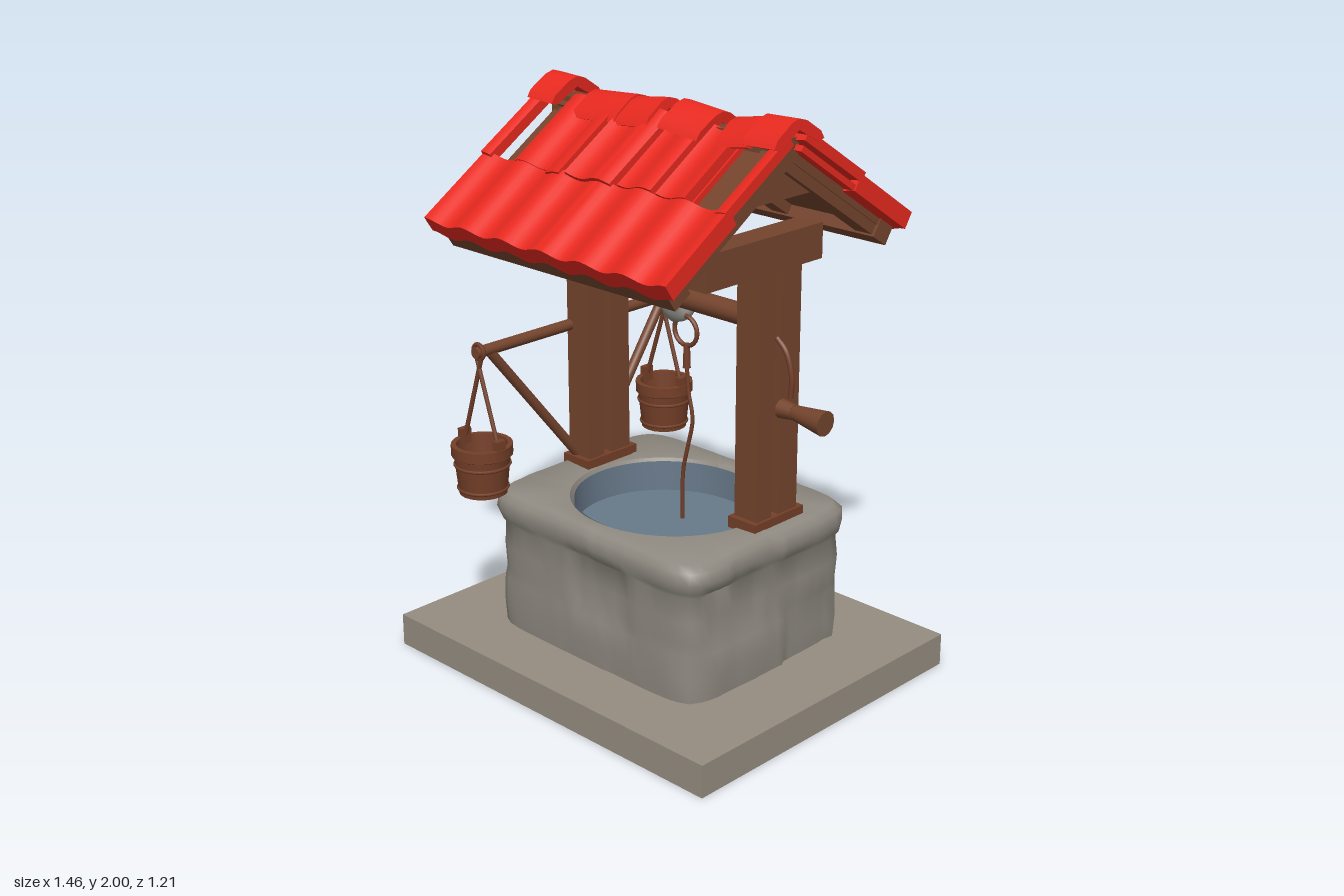
import * as THREE from 'three';
import { toCreasedNormals } from 'three/addons/utils/BufferGeometryUtils.js';

const mat = (name, color, side = THREE.FrontSide) => {
  const m = new THREE.MeshStandardMaterial({ color, side });
  m.name = name;
  return m;
};
const V = (x, y, z) => new THREE.Vector3(x, y, z);
const shapeOf = pts => new THREE.Shape(pts.map(p => new THREE.Vector2(...p)));
// repeatable noise in -1..1
const hash = (a, b) => {
  const s = Math.sin(a * 127.1 + b * 311.7) * 43758.5453;
  return (s - Math.floor(s)) * 2 - 1;
};

export function createModel() {
  const stone = mat('stone', 0x8f8a81, THREE.DoubleSide);
  const slab = mat('slab', 0x958d81);
  const wood = mat('wood', 0x74442d);
  const bronze = mat('reddish wood', 0x743f28, THREE.DoubleSide);
  const tile = mat('red tile', 0xe8291f, THREE.DoubleSide);
  const grey = mat('pulley grey', 0x898984);
  const lining = mat('well lining', 0x68798a, THREE.DoubleSide);
  const water = mat('water', 0x677a88);
  const model = new THREE.Group();

  const add = (name, geo, m, parent = model) => {
    const mesh = new THREE.Mesh(geo, m);
    mesh.name = name;
    parent.add(mesh);
    return mesh;
  };
  // box given by its minimum and maximum on each axis
  const box = (name, x0, x1, y0, y1, z0, z1, m, parent) => {
    const b = add(name, new THREE.BoxGeometry(x1 - x0, y1 - y0, z1 - z0), m, parent);
    b.position.set((x0 + x1) / 2, (y0 + y1) / 2, (z0 + z1) / 2);
    return b;
  };
  // round bar between two points
  const bar = (name, a, b, r0, r1, m, parent, sides = 12) => {
    const c = add(name, new THREE.CylinderGeometry(r1, r0, a.distanceTo(b), sides), m, parent);
    c.position.copy(a).lerp(b, 0.5);
    c.quaternion.setFromUnitVectors(V(0, 1, 0), b.clone().sub(a).normalize());
    return c;
  };
  const tube = (name, pts, r, m) =>
    add(name, new THREE.TubeGeometry(new THREE.CatmullRomCurve3(pts), 24, r, 6), m);

  box('base', -0.73, 0.73, 0, 0.115, -0.605, 0.605, slab);

  // Stone wall: rings of rounded-rectangle sections ending at the round opening
  const N = 96;
  const loft = (rings, point) => {
    const pos = [], idx = [];
    rings.forEach((r, j) => {
      for (let i = 0; i < N; i++) pos.push(...point(r, j, i, i / N * Math.PI * 2));
    });
    for (let j = 0; j < rings.length - 1; j++) for (let i = 0; i < N; i++) {
      const a = j * N + i, b = j * N + (i + 1) % N;
      idx.push(a, b, a + N, b, b + N, a + N);
    }
    const g = new THREE.BufferGeometry();
    g.setAttribute('position', new THREE.Float32BufferAttribute(pos, 3));
    g.setIndex(idx);
    return toCreasedNormals(g, 1.0);
  };
  // height, half width, half depth, squareness, course number
  const wallRings = [
    [0.11, 0.472, 0.385, 9, 1], [0.2, 0.478, 0.39, 9, 1], [0.285, 0.474, 0.387, 9, 1],
    [0.325, 0.472, 0.385, 9, 2], [0.41, 0.478, 0.39, 9, 2], [0.495, 0.472, 0.385, 9, 2],
    [0.515, 0.486, 0.398, 9, 3], [0.55, 0.493, 0.408, 9, 3], [0.59, 0.49, 0.404, 9, 3],
    [0.61, 0.468, 0.383, 9, 3], [0.608, 0.35, 0.33, 2, 0], [0.575, 0.335, 0.315, 2, 0],
  ];
  add('stoneWall', loft(wallRings, ([y, w, d, e, course], j, i, t) => {
    const c = Math.cos(t), s = Math.sin(t);
    const k = (Math.abs(c) ** e + Math.abs(s) ** e) ** (-1 / e);
    const block = Math.floor(((i + course * 5) % N) / 8);
    const bump = course ? 1 + 0.02 * hash(block, course) + 0.003 * hash(i, j) : 1;
    const lift = course === 3 ? 0.006 * hash(block, 7) : 0;
    return [w * k * c * bump, y + lift, -d * k * s * bump];
  }), stone);
  add('wellLining', loft([[0.6, 0.335], [0.4, 0.33]], ([y, r], j, i, t) =>
    [r * Math.cos(t), y, -r * 0.94 * Math.sin(t)]), lining);
  const pool = add('water', new THREE.CircleGeometry(0.335, 40), water);
  pool.rotation.x = -Math.PI / 2;
  pool.scale.y = 0.94;
  pool.position.y = 0.49;

  // Paired posts, feet and the beams across their tops
  for (const [side, x0, x1] of [['right', -0.475, -0.37], ['left', 0.32, 0.42]]) {
    box(side + 'FrontPost', x0, x1, 0.6, 1.5, -0.05, 0.02, wood);
    box(side + 'BackPost', x0, x1, 0.6, 1.5, -0.175, -0.085, wood);
    box(side + 'PostFoot', x0 - 0.01, x1 + 0.01, 0.6, 0.64, -0.2, 0.04, bronze);
    box(side + 'TopBeam', x0, x1, 1.48, 1.6, -0.275, 0.27, wood);
  }

  // Axle, pulley, hook and rope
  const z = -0.085;
  bar('axle', V(-0.42, 1.295, z), V(0.37, 1.295, z), 0.037, 0.037, wood);
  const pulley = add('pulley', new THREE.TorusGeometry(0.058, 0.026, 10, 24), grey);
  pulley.rotation.y = Math.PI / 2;
  pulley.position.set(-0.03, 1.29, z);
  add('pulleyKnob', new THREE.SphereGeometry(0.031, 16, 12), grey).position.set(-0.08, 1.38, z);
  add('hookRing', new THREE.TorusGeometry(0.052, 0.008, 8, 24), bronze).position.set(-0.005, 1.18, z);
  bar('ropeKnot', V(0, 1.05, z), V(0, 1.135, z), 0.014, 0.011, bronze);
  tube('rope', [V(0, 1.07, z), V(0.008, 0.97, z), V(0.028, 0.87, z), V(0.005, 0.76, z),
    V(-0.015, 0.67, z), V(-0.018, 0.49, z)], 0.007, bronze);

  // Crank and its handle
  tube('crank', [V(0.4, 1.25, z), V(0.44, 1.21, z), V(0.465, 1.13, z), V(0.462, 1.06, z)], 0.009, bronze);
  bar('handle', V(0.48, 1.015, z), V(0.61, 1.01, z), 0.025, 0.043, wood);
  bar('handleCollar', V(0.425, 1.015, z), V(0.48, 1.015, z), 0.033, 0.026, wood);

  // Side yoke with braces
  const bx = -0.465;
  bar('yoke', V(bx, 1.12, -0.505), V(bx, 1.12, 0.45), 0.02, 0.02, wood);
  bar('frontBrace', V(bx, 1.11, 0.385), V(bx + 0.02, 0.64, 0.01), 0.018, 0.018, wood);
  bar('backBrace', V(bx, 1.11, -0.44), V(bx + 0.02, 0.7, -0.13), 0.018, 0.018, wood);

  // Two hanging buckets
  const profile = [[0, 0.625], [0.083, 0.615], [0.097, 0.75], [0.106, 0.755], [0.106, 0.793],
    [0.088, 0.793], [0.078, 0.66], [0, 0.66]].map(p => new THREE.Vector2(...p));
  for (const [name, bz] of [['frontBucket', 0.43], ['backBucket', -0.455]]) {
    const g = new THREE.Group();
    g.name = name;
    g.position.set(-0.47, 0, bz);
    model.add(g);
    add('pail', toCreasedNormals(new THREE.LatheGeometry(profile, 20), 0.5), bronze, g);
    for (const [y, r] of [[0.635, 0.085], [0.72, 0.094]]) {
      const hoop = add('hoop', new THREE.TorusGeometry(r, 0.006, 6, 24), bronze, g);
      hoop.rotation.x = Math.PI / 2;
      hoop.position.y = y;
    }
    for (const s of [-1, 1]) {
      bar('handleRope', V(s * 0.088, 0.79, 0), V(-s * 0.022, 1.13, 0), 0.008, 0.008, bronze, g, 6);
      box('lug', s * 0.09 - 0.012, s * 0.09 + 0.012, 0.77, 0.825, -0.02, 0.02, bronze, g);
    }
    const loop = add('yokeLoop', new THREE.TorusGeometry(0.026, 0.008, 6, 16), bronze, g);
    loop.position.y = 1.12;
  }

  // Corrugated tile sheet: wavy section in x, extruded down the slope
  const sheet = (x0, x1, length, thick) => {
    const wave = x => 0.011 * Math.cos(x * Math.PI * 2 / 0.18);
    const n = Math.max(3, Math.round((x1 - x0) / 0.02)), top = [], under = [];
    for (let i = 0; i <= n; i++) {
      const x = x0 + (x1 - x0) * i / n;
      top.push([x, wave(x)]);
      under.unshift([x, wave(x) - thick]);
    }
    return toCreasedNormals(new THREE.ExtrudeGeometry(shapeOf([...top, ...under]),
      { depth: length, bevelEnabled: false }), 0.6);
  };

  // Two roof slopes; each is built flat with +z running down to the eave.
  // Bare boards show only where the underlay stops short.
  const slopes = {
    front: { turn: 0, underlay: [-0.39, 0.36],
      tiles: [[-0.545, -0.505], [-0.4, -0.25], [-0.24, -0.17], [-0.15, 0.05], [0.06, 0.21], [0.23, 0.36], [0.5, 0.545]] },
    back: { turn: Math.PI, underlay: [-0.54, 0.54],
      tiles: [[-0.545, -0.41], [-0.36, -0.2], [-0.18, -0.06], [-0.04, 0.15], [0.17, 0.25], [0.27, 0.4], [0.48, 0.545]] },
  };
  for (const [side, { turn, underlay, tiles }] of Object.entries(slopes)) {
    const half = new THREE.Group();
    half.name = side + 'Roof';
    half.position.y = 1.975;
    half.rotation.y = turn;
    const slope = new THREE.Group();
    slope.name = 'slope';
    slope.rotation.x = 0.58;
    half.add(slope);
    model.add(half);
    box('boards', -0.5, 0.5, -0.09, -0.06, 0, 0.66, wood, slope);
    box('eavePurlin', -0.505, 0.505, -0.132, -0.065, 0.6, 0.675, wood, slope);
    for (const x of [-0.46, -0.1, 0.1, 0.46])
      box('rafter', x - 0.035, x + 0.035, -0.125, -0.085, 0.02, 0.66, wood, slope);
    box('underlay', ...underlay, -0.06, -0.04, 0.06, 0.4, tile, slope);
    const lower = add('lowerTiles', sheet(-0.545, 0.545, 0.32, 0.06), tile, slope);
    lower.position.set(0, -0.011, 0.368);
    tiles.forEach(([a, b], i) => {
      const t = add('upperTile', sheet(a, b, 0.33 + 0.02 * hash(i, 3), 0.035), tile, slope);
      t.position.set(0, -0.004 + 0.008 * hash(i, 5), 0.05);
      t.rotation.x = 0.015 * hash(i, 9);
    });
  }

  // Brown gable panels under the ridge
  const gable = shapeOf([[-0.17, 1.73], [0.17, 1.73], [0.19, 1.77], [0, 1.92], [-0.19, 1.77]]);
  for (const x of [-0.47, 0.43]) {
    const g = add('gablePanel', new THREE.ExtrudeGeometry(gable, { depth: 0.04, bevelEnabled: false }), wood);
    g.rotation.y = Math.PI / 2;
    g.position.x = x;
  }
  box('ridgeBeam', -0.51, 0.51, 1.85, 1.93, -0.04, 0.04, wood);

  // Uneven ridge caps, folded over the peak: centre, length, lift, tilt
  const fold = shapeOf([[-0.115, -0.077], [-0.1, -0.052], [-0.035, -0.01], [0, 0], [0.035, -0.01],
    [0.1, -0.052], [0.115, -0.077], [0.09, -0.085], [0, -0.035], [-0.09, -0.085]]);
  const caps = [[-0.485, 0.12, 0.003, -0.05], [-0.24, 0.2, -0.025, 0.06], [-0.075, 0.15, -0.018, 0.12],
    [0.15, 0.17, -0.012, -0.1], [0.355, 0.13, -0.018, 0.16], [0.48, 0.13, 0.002, 0.03]];
  for (const [x, len, lift, tilt] of caps) {
    const geo = new THREE.ExtrudeGeometry(fold, { depth: len, bevelEnabled: false });
    geo.translate(0, 0, -len / 2).rotateY(Math.PI / 2);
    const cap = add('ridgeCap', toCreasedNormals(geo, 0.6), tile);
    cap.position.set(x, 1.993 + lift, 0);
    cap.rotation.z = tilt;
  }
  return model;
}
